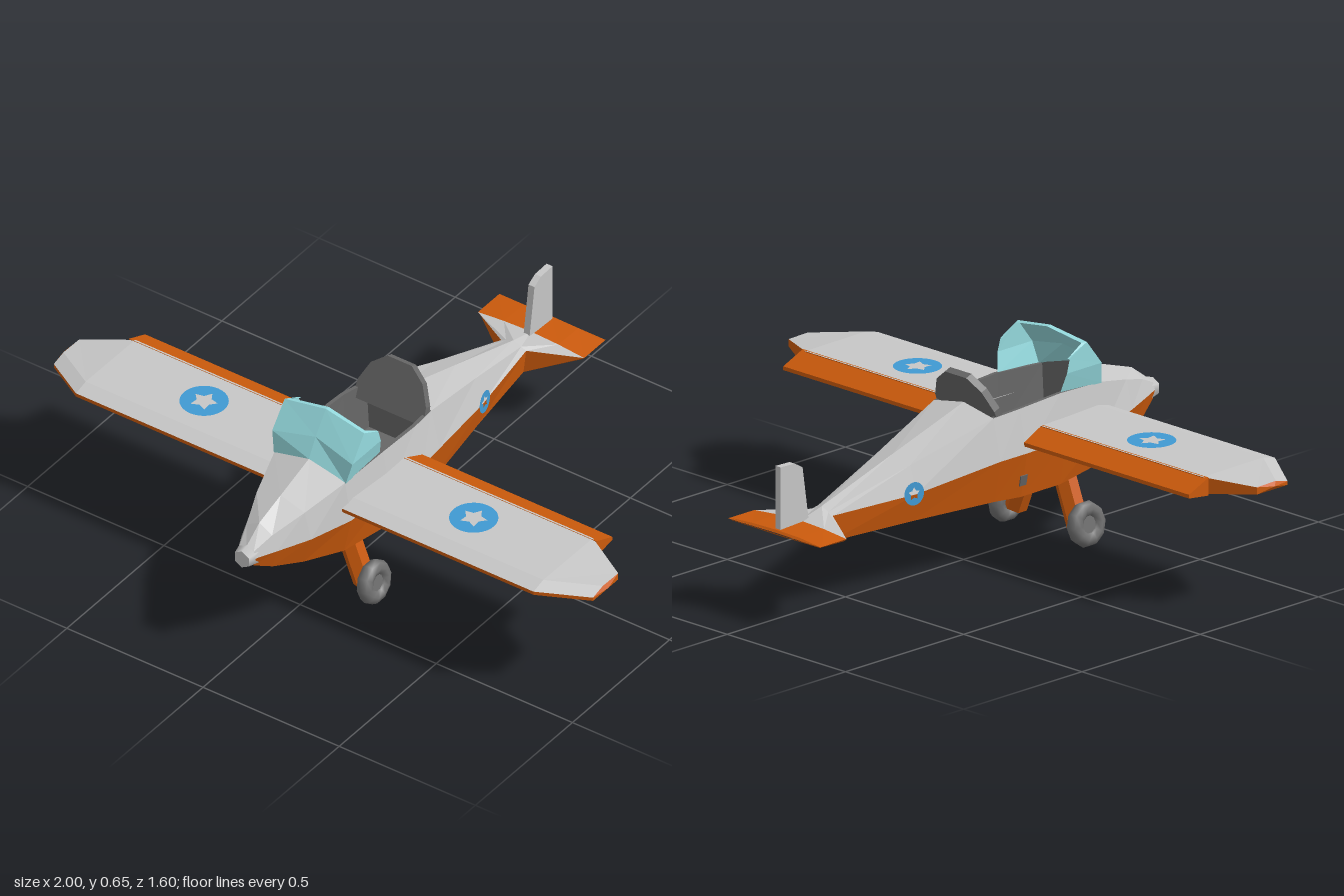
import * as THREE from 'three';

const mat = (name, color, side = THREE.FrontSide) => {
  const m = new THREE.MeshStandardMaterial({ color, side });
  m.name = name;
  return m;
};

// Faceted skin between rows of points; flip reverses the facing
function skin(rows, flip = false) {
  const pos = [];
  for (let i = 0; i < rows.length - 1; i++) {
    for (let j = 0; j < rows[i].length - 1; j++) {
      const a = rows[i][j], b = rows[i + 1][j], c = rows[i + 1][j + 1], d = rows[i][j + 1];
      pos.push(...(flip ? [a, c, b, a, d, c] : [a, b, c, a, c, d]).flat());
    }
  }
  const g = new THREE.BufferGeometry();
  g.setAttribute('position', new THREE.Float32BufferAttribute(pos, 3));
  g.computeVertexNormals();
  return g;
}

// Disc with a star-shaped opening
function roundelGeometry(r) {
  const shape = new THREE.Shape().absarc(0, 0, r, 0, Math.PI * 2);
  const pts = [];
  for (let i = 0; i < 10; i++) {
    const a = Math.PI / 2 + i * Math.PI / 5, q = r * (i % 2 ? 0.32 : 0.58);
    pts.push(new THREE.Vector2(q * Math.cos(a), q * Math.sin(a)));
  }
  shape.holes.push(new THREE.Path(pts));
  return new THREE.ShapeGeometry(shape, 16);
}

export function createModel() {
  const model = new THREE.Group();
  model.name = 'airplane';
  const grey = mat('light grey paint', 0xc6c6c6);
  const orange = mat('orange paint', 0xcb5a0c);
  const blue = mat('blue marking', 0x4099d2, THREE.DoubleSide);
  const glass = mat('cyan glass', 0x95dade, THREE.DoubleSide);
  const dark = mat('dark grey interior', 0x666666, THREE.DoubleSide);
  const rubber = mat('tyre grey', 0x707070);

  const add = (name, geometry, material, parent = model) => {
    const m = new THREE.Mesh(geometry, material);
    m.name = name;
    parent.add(m);
    return m;
  };

  // Fuselage stations: z, belly y, chine x y, waist x y, shoulder x y, ridge y
  const stations = [
    [0.775, 0.33, 0.025, 0.338, 0.034, 0.368, 0.026, 0.39, 0.4],
    [0.71, 0.29, 0.05, 0.305, 0.065, 0.368, 0.047, 0.42, 0.447],
    [0.6, 0.25, 0.085, 0.27, 0.112, 0.365, 0.088, 0.455, 0.482],
    [0.45, 0.207, 0.125, 0.235, 0.152, 0.36, 0.13, 0.493, 0.53],
    [0.27, 0.18, 0.14, 0.215, 0.164, 0.36, 0.14, 0.502, 0.53],
    [0.1, 0.183, 0.142, 0.215, 0.168, 0.358, 0.138, 0.492, 0.52],
    [0, 0.19, 0.13, 0.22, 0.155, 0.352, 0.125, 0.482, 0.505],
    [-0.3, 0.195, 0.08, 0.218, 0.1, 0.308, 0.073, 0.393, 0.412],
    [-0.6, 0.2, 0.036, 0.214, 0.046, 0.298, 0.028, 0.306, 0.318],
    [-0.69, 0.268, 0.185, 0.272, 0.195, 0.281, 0.1, 0.29, 0.294],
    [-0.793, 0.273, 0.185, 0.275, 0.195, 0.281, 0.1, 0.287, 0.289],
    [-0.8, 0.28, 0.1, 0.28, 0.195, 0.281, 0.1, 0.281, 0.282],
  ];
  const upper = ([z, , , , wx, wy, sx, sy, t]) =>
    [[wx, wy, z], [sx, sy, z], [0, t, z], [-sx, sy, z], [-wx, wy, z]];
  const lower = ([z, b, cx, cy, wx, wy]) =>
    [[-wx, wy, z], [-cx, cy, z], [0, b, z], [cx, cy, z], [wx, wy, z]];
  const cockpit = stations.slice(3, 7);
  add('noseCowl', skin(stations.slice(0, 4).map(upper)), grey);
  add('cockpitLeftSide', skin(cockpit.map(s => upper(s).slice(0, 2))), grey);
  add('cockpitRightSide', skin(cockpit.map(s => upper(s).slice(3))), grey);
  add('rearDeck', skin(stations.slice(6, 10).map(upper)), grey);
  add('belly', skin(stations.map(lower)), orange);
  add('tailplaneTop', skin(stations.slice(9).map(upper)), orange);

  // Cockpit tub with end bulkheads
  add('cockpitTub', skin(cockpit.map(([z, , , , , , sx, sy]) => {
    const w = sx - 0.012;
    return [[sx, sy, z], [w, sy, z], [w - 0.01, 0.32, z], [0.01 - w, 0.32, z], [-w, sy, z], [-sx, sy, z]];
  })), dark);
  for (const s of [stations[3], stations[6]]) {
    const [z, , , , , , sx, sy, t] = s;
    add('bulkhead', skin([
      [[sx, sy, z], [0, t, z], [-sx, sy, z]],
      [[sx, 0.32, z], [0, 0.32, z], [-sx, 0.32, z]],
    ]), dark);
  }

  // Headrest leaning back at the rear of the cockpit
  const rest = new THREE.Shape([[-0.13, -0.04], [0.13, -0.04], [0.125, 0.02], [0.095, 0.085], [0.045, 0.125],
    [-0.045, 0.125], [-0.095, 0.085], [-0.125, 0.02]].map(p => new THREE.Vector2(...p)));
  const headrest = add('headrest', new THREE.ExtrudeGeometry(rest, { depth: 0.024, bevelEnabled: false }), dark);
  headrest.position.set(0, 0.482, 0.012);
  headrest.rotation.x = -0.38;

  // Windscreen wrapping from one cockpit side to the other
  const pane = (rx, ry, rz, fy, fz, cy, cz) =>
    [[rx, ry, rz], [rx, fy, fz], [0, cy, cz], [-rx, fy, fz], [-rx, ry, rz]];
  add('windscreen', skin([
    pane(0.132, 0.497, 0.275, 0.49, 0.45, 0.528, 0.455),
    pane(0.147, 0.56, 0.29, 0.56, 0.437, 0.59, 0.42),
    pane(0.146, 0.602, 0.302, 0.64, 0.375, 0.662, 0.367),
    pane(0.138, 0.602, 0.302, 0.638, 0.36, 0.66, 0.352),
  ]), glass);

  // Nose hub
  const hub = add('noseHub', new THREE.CylinderGeometry(0.03, 0.04, 0.04, 6), grey);
  hub.rotation.x = Math.PI / 2;
  hub.position.set(0, 0.365, 0.78);

  // Tail fin
  const finShape = new THREE.Shape([[0.665, 0.285], [0.785, 0.28], [0.785, 0.486], [0.725, 0.484],
    [0.692, 0.465]].map(p => new THREE.Vector2(...p)));
  const fin = add('tailFin', new THREE.ExtrudeGeometry(finShape, { depth: 0.022, bevelEnabled: false }), grey);
  fin.rotation.y = Math.PI / 2;
  fin.position.x = -0.011;

  for (const s of [1, -1]) {
    const side = new THREE.Group();
    side.name = s > 0 ? 'leftSide' : 'rightSide';
    model.add(side);
    const flip = s < 0;

    // Wing sections: x, leading z, trailing z, top y, bottom y
    const wing = [[0.12, 0.476, 0.17, 0.428, 0.37], [0.84, 0.476, 0.17, 0.428, 0.373], [0.99, 0.38, 0.25, 0.412, 0.387]];
    add('wingTop', skin(wing.map(([x, l, t, y]) =>
      [[s * x, y - 0.013, l], [s * x, y, l - 0.05], [s * x, y - 0.002, t]]), flip), grey);
    const under = wing.map(([x, l, t, y, b]) =>
      [[s * x, y - 0.002, t], [s * x, b, t], [s * x, b, l - 0.06], [s * x, y - 0.025, l], [s * x, y - 0.013, l]]);
    add('wingUnderside', skin(under, flip), orange);
    const rim = [...under[2], [s * 0.99, 0.412, 0.33], under[2][0]];
    add('wingTip', skin([rim, rim.map(() => [s, 0.4, 0.315])], flip), orange);

    // Flap along the trailing edge
    const flapRow = x => [[0.427, 0.178], [0.392, 0.095], [0.38, 0.095], [0.37, 0.178], [0.427, 0.178]]
      .map(([y, z]) => [s * x, y, z]);
    add('flap', skin([flapRow(0.13), flapRow(0.858), flapRow(0).map(() => [s * 0.858, 0.39, 0.15])], flip), orange);

    // Wing and fuselage markings
    const big = roundelGeometry(0.074);
    const top = add('wingRoundelTop', big, blue, side);
    top.rotation.x = -Math.PI / 2;
    top.position.set(s * 0.495, 0.4305, 0.3);
    const bottom = add('wingRoundelBottom', big, blue, side);
    bottom.rotation.x = Math.PI / 2;
    bottom.position.set(s * 0.495, 0.367, 0.3);
    for (const d of [-1, 1]) {
      const bar = add('wingBar', new THREE.BoxGeometry(0.11, 0.005, 0.045), grey, side);
      bar.position.set(s * 0.495 + d * 0.127, 0.37, 0.3);
    }
    const tailMark = add('fuselageRoundel', roundelGeometry(0.036), blue, side);
    tailMark.position.set(s * 0.101, 0.312, -0.31);
    tailMark.lookAt(s * 1.101, 0.36, -0.49);
    const panel = add('sidePanel', new THREE.BoxGeometry(0.028, 0.034, 0.004), dark, side);
    panel.position.set(s * 0.1525, 0.27, 0.1);
    panel.lookAt(s * 1.1525, 0.08, 0.1);

    // Landing gear leg and wheel
    const from = new THREE.Vector3(s * 0.07, 0.22, 0.352), to = new THREE.Vector3(s * 0.132, 0.062, 0.352);
    const axis = from.clone().sub(to);
    const leg = add('gearLeg', new THREE.CylinderGeometry(0.036, 0.036, axis.length(), 6), orange, side);
    leg.geometry = leg.geometry.toNonIndexed();
    leg.geometry.computeVertexNormals();
    leg.position.copy(from).add(to).multiplyScalar(0.5);
    leg.quaternion.setFromUnitVectors(new THREE.Vector3(0, 1, 0), axis.normalize());

    const wheel = new THREE.Group();
    wheel.name = 'wheel';
    side.add(wheel);
    add('tyre', new THREE.TorusGeometry(0.047, 0.025, 8, 10), rubber, wheel);
    const cap = add('wheelHub', new THREE.CylinderGeometry(0.035, 0.035, 0.026, 10), rubber, wheel);
    cap.rotation.x = Math.PI / 2;
    wheel.position.set(s * 0.166, 0.076, 0.352);
    wheel.rotation.set(0, Math.PI / 2, s * 0.14, 'ZYX');
  }
  return model;
}
